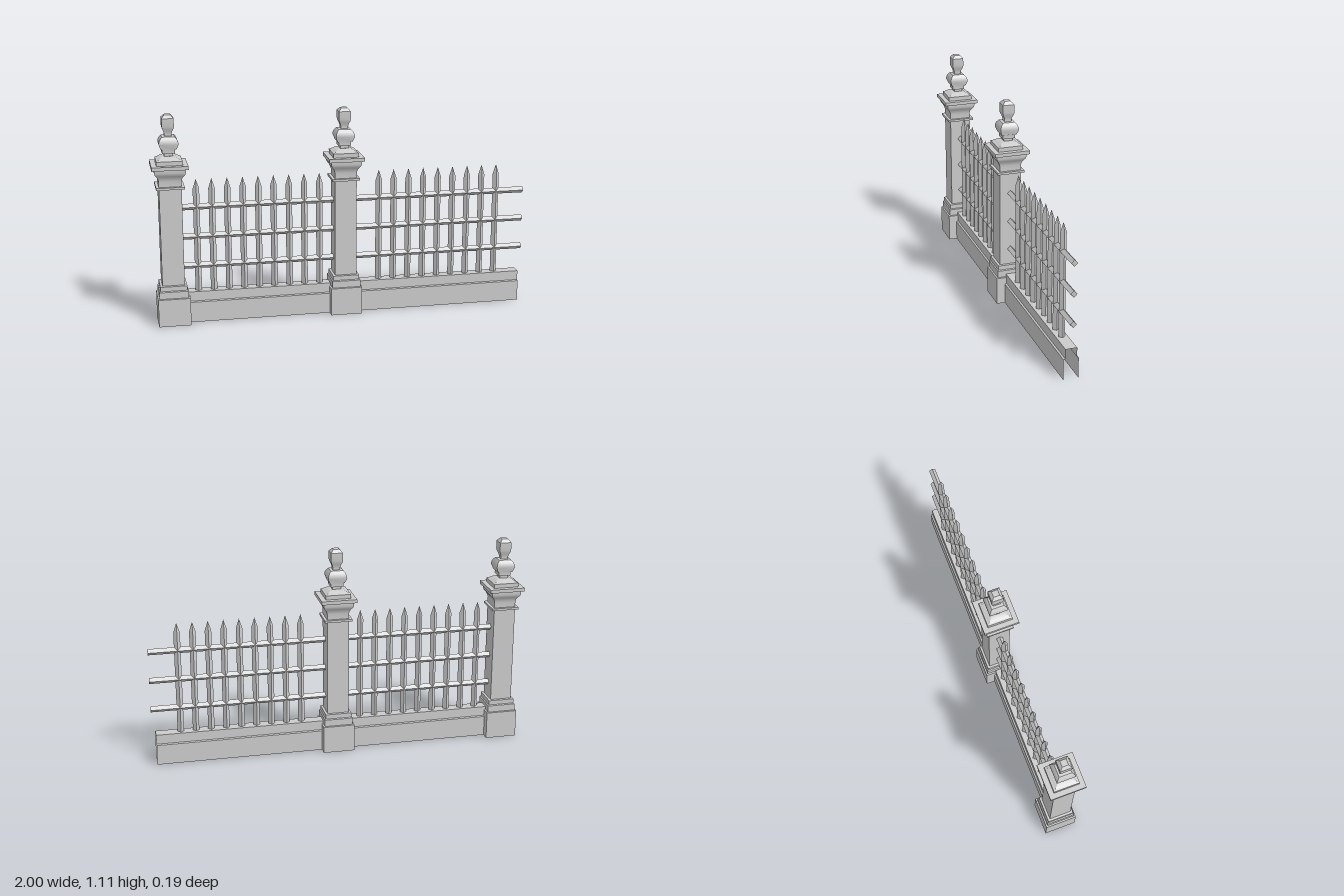
import * as THREE from 'three';
import { toCreasedNormals } from 'three/addons/utils/BufferGeometryUtils.js';

const material = new THREE.MeshStandardMaterial({ color: 0xcccccc, side: THREE.DoubleSide });

// Half-width and height pairs, bottom to top, of the square post
const POST_PROFILE = [
  // stepped base and shaft
  [0.084, 0], [0.084, 0.148], [0.076, 0.15], [0.076, 0.186], [0.07, 0.19], [0.07, 0.214],
  [0.058, 0.216], [0.058, 0.733],
  // collar and flared capital
  [0.073, 0.733], [0.073, 0.745], [0.058, 0.745], [0.058, 0.775], [0.061, 0.787],
  [0.068, 0.8], [0.077, 0.811], [0.08, 0.822], [0.08, 0.839],
  // cap slab and sloped top
  [0.094, 0.839], [0.094, 0.858], [0.067, 0.858], [0.067, 0.88], [0.058, 0.884], [0.035, 0.899],
  // finial
  [0.023, 0.899], [0.023, 0.914], [0.033, 0.914], [0.033, 0.935], [0.04, 0.936],
  [0.05, 0.963], [0.049, 0.975], [0.043, 0.989], [0.033, 1.001], [0.019, 1.003],
  [0.018, 1.012], [0.022, 1.027], [0.029, 1.043], [0.031, 1.052], [0.031, 1.095],
  [0.016, 1.112], [0, 1.112],
];

// Depth and height pairs of the hollow plinth, from back foot over the top to front foot
const WALL_PROFILE = [
  [-0.039, 0], [-0.039, 0.11], [-0.03, 0.114], [-0.03, 0.165],
  [0.03, 0.165], [0.03, 0.114], [0.039, 0.11], [0.039, 0],
];

// Four-sided turned shape with its faces square to the axes
function squareLathe(profile) {
  const points = profile.map(([r, y]) => new THREE.Vector2(r * Math.SQRT2, y));
  const geometry = new THREE.LatheGeometry(points, 4, Math.PI / 4);
  return toCreasedNormals(geometry, THREE.MathUtils.degToRad(38));
}

// Sheet folded along the plinth profile
function wallGeometry(length) {
  const geometry = new THREE.PlaneGeometry(length, 1, 1, WALL_PROFILE.length - 1);
  const position = geometry.attributes.position;
  for (let i = 0; i < position.count; i++) {
    const [z, y] = WALL_PROFILE[Math.floor(i / 2)];
    position.setY(i, y);
    position.setZ(i, z);
  }
  return toCreasedNormals(geometry, 0.3);
}

// Diamond-section bar with open ends
function barGeometry(length) {
  return toCreasedNormals(new THREE.CylinderGeometry(0.017, 0.017, length, 4, 1, true), 0.5);
}

export function createModel() {
  const model = new THREE.Group();
  model.name = 'fence';

  const add = (parent, name, geometry, x, y) => {
    const mesh = new THREE.Mesh(geometry, material);
    mesh.name = name;
    mesh.position.set(x, y, 0);
    parent.add(mesh);
    return mesh;
  };

  // Posts
  const post = squareLathe(POST_PROFILE);
  for (const x of [-0.906, 0.009]) add(model, 'post', post, x, 0);

  // Pointed picket as one four-sided turned shape
  const picket = toCreasedNormals(new THREE.LatheGeometry(
    [[0, 0.158], [0.017, 0.158], [0.017, 0.715], [0, 0.768]].map(([r, y]) => new THREE.Vector2(r, y)), 4), 0.3);

  // Fence bays: plinth wall, three rails and nine pickets each
  const bays = [
    { name: 'rightBay', wall: [-0.83, -0.07], rail: [-0.85, -0.045], firstPicket: -0.771 },
    { name: 'leftBay', wall: [0.085, 0.98], rail: [0.065, 1], firstPicket: 0.199 },
  ];
  for (const { name, wall, rail, firstPicket } of bays) {
    const bay = new THREE.Group();
    bay.name = name;
    model.add(bay);
    add(bay, 'plinthWall', wallGeometry(wall[1] - wall[0]), (wall[0] + wall[1]) / 2, 0);
    const bar = barGeometry(rail[1] - rail[0]);
    for (const y of [0.302, 0.461, 0.62]) {
      add(bay, 'rail', bar, (rail[0] + rail[1]) / 2, y).rotation.z = Math.PI / 2;
    }
    for (let i = 0; i < 9; i++) add(bay, 'picket', picket, firstPicket + i * 0.081, 0);
  }
  return model;
}
